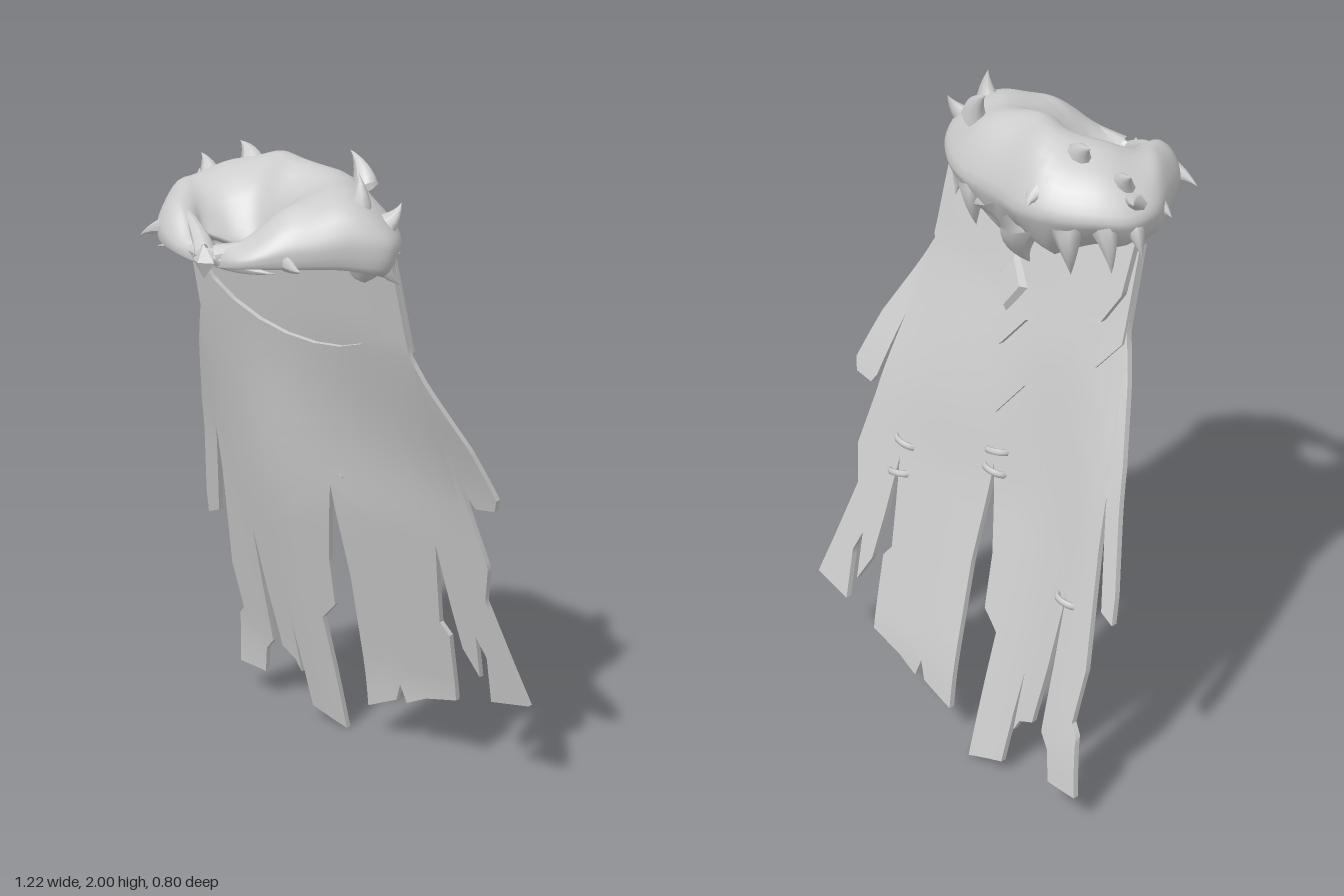
import * as THREE from 'three';
import { toCreasedNormals } from 'three/addons/utils/BufferGeometryUtils.js';

const material = new THREE.MeshStandardMaterial({ color: 0xcccccc, side: THREE.DoubleSide });
const V = (x, y, z) => new THREE.Vector3(x, y, z);

function add(parent, name, geometry) {
  const mesh = new THREE.Mesh(geometry, material);
  mesh.name = name;
  parent.add(mesh);
  return mesh;
}

// The cloth hangs on a slope, bowed backwards across the upper back; the outer strips swing further back.
function clothZ(x, y) {
  const bow = 0.045 * Math.max(0, 1 - (x / 0.45) ** 2) * THREE.MathUtils.smoothstep(y, 0.8, 1.4);
  const swing = 0.055 * (1 + 0.4 * x) * (1 - Math.exp(-(((x + 0.22) / 0.2) ** 2)));
  return -0.382 + 0.257 * y - bow - swing * (1 - THREE.MathUtils.smoothstep(y, 0.95, 1.5)) * THREE.MathUtils.smoothstep(y, -0.15, 0.3);
}

// Splits every triangle into four, so that flat cloth can be bent.
function subdivide(positions) {
  const out = [];
  const p = (i) => V(positions[i], positions[i + 1], positions[i + 2]);
  for (let i = 0; i < positions.length; i += 9) {
    const a = p(i), b = p(i + 3), c = p(i + 6);
    const ab = a.clone().lerp(b, 0.5), bc = b.clone().lerp(c, 0.5), ca = c.clone().lerp(a, 0.5);
    for (const v of [a, ab, ca, ab, b, bc, ca, bc, c, ab, bc, ca]) out.push(v.x, v.y, v.z);
  }
  return out;
}

// Thin sheet cut to an outline and laid on the cloth surface.
function cloth(outline, offset, thickness) {
  const shape = new THREE.Shape(outline.map(([x, y]) => new THREE.Vector2(x, y)));
  const flat = new THREE.ExtrudeGeometry(shape, { depth: thickness, bevelEnabled: false });
  let pos = Array.from(flat.attributes.position.array);
  for (let k = 0; k < 3; k++) pos = subdivide(pos);
  for (let i = 0; i < pos.length; i += 3) {
    pos[i + 2] += clothZ(pos[i], pos[i + 1]) - thickness - offset;
  }
  const geometry = new THREE.BufferGeometry();
  geometry.setAttribute('position', new THREE.Float32BufferAttribute(pos, 3));
  return toCreasedNormals(geometry, 0.6);
}

// Torn outline of the cape: right half going down, then left half going up, then the scooped top.
const rightEdge = [
  [-0.4, 1.7], [-0.41, 1.45], [-0.52, 1.1], [-0.6, 0.75], [-0.61, 0.67], [-0.56, 0.69], [-0.485, 1.01],
  [-0.5, 0.85], [-0.55, 0.5], [-0.54, 0.33], [-0.565, 0.3], [-0.595, 0.11], [-0.48, 0.105], [-0.46, 0.2],
  [-0.42, 0.24], [-0.415, 0.45], [-0.405, 0.67], [-0.39, 0.42], [-0.37, 0.24], [-0.31, 0.21], [-0.29, 0.17],
  [-0.29, 0.36], [-0.275, 0.2], [-0.265, 0.05], [-0.13, 0.005], [-0.145, 0.42], [-0.09, 0.48], [-0.08, 0.65], [-0.03, 0.92],
];
const leftEdge = [
  [-0.015, 0.6], [-0.03, 0.12], [0.08, 0.17], [0.1, 0.23], [0.12, 0.17], [0.2, 0.21], [0.32, 0.24],
  [0.335, 0.48], [0.305, 0.52], [0.32, 0.65], [0.34, 0.8], [0.36, 0.6], [0.38, 0.45], [0.43, 0.36],
  [0.44, 0.51], [0.47, 0.44], [0.46, 0.28], [0.605, 0.31], [0.56, 0.45], [0.5, 0.65], [0.53, 0.77],
  [0.49, 0.95], [0.45, 1.21], [0.5, 1.0], [0.52, 0.97], [0.59, 0.98], [0.605, 1.02], [0.55, 1.18], [0.41, 1.45], [0.4, 1.7],
];
const scoop = [];
for (let i = 1; i < 12; i++) {
  const a = (i / 12) * Math.PI;
  scoop.push([0.4 * Math.cos(a), 1.7 - 0.3 * Math.sin(a)]);
}

// Back layers with pointed hems.
const lowerMantle = [[-0.4, 1.76], [-0.41, 1.42], [-0.34, 1.33], [-0.22, 1.27], [-0.1, 1.19], [-0.015, 1.08],
  [0.07, 1.19], [0.2, 1.3], [0.32, 1.38], [0.41, 1.46], [0.4, 1.76]];
const upperMantle = [[-0.4, 1.74], [-0.39, 1.56], [-0.34, 1.47], [-0.22, 1.43], [-0.08, 1.39], [0, 1.29],
  [0.06, 1.39], [0.2, 1.47], [0.3, 1.57], [0.37, 1.67], [0.4, 1.76]];

// Fur collar stations around the neck: inner x, z, outer x, z, crest height, hem height.
const stations = [
  [-0.01, 0.35, -0.01, 0.37, 1.765, 1.72], [0.03, 0.31, 0.13, 0.382, 1.79, 1.735],
  [0.06, 0.27, 0.24, 0.315, 1.85, 1.74], [0.065, 0.25, 0.36, 0.19, 1.9, 1.735],
  [0.05, 0.23, 0.43, 0.08, 1.92, 1.71], [0.035, 0.205, 0.37, -0.03, 1.93, 1.68],
  [0.015, 0.185, 0.2, -0.15, 1.95, 1.65], [-0.01, 0.175, 0, -0.17, 1.97, 1.62],
  [-0.04, 0.185, -0.2, -0.19, 1.96, 1.65], [-0.065, 0.21, -0.4, -0.05, 1.92, 1.68],
  [-0.09, 0.24, -0.42, 0.06, 1.9, 1.71], [-0.11, 0.27, -0.36, 0.17, 1.89, 1.735],
  [-0.085, 0.3, -0.25, 0.32, 1.85, 1.74], [-0.05, 0.33, -0.12, 0.377, 1.79, 1.735],
];
// Collar cross-section: share of the way outwards, share of the height.
const section = [[0, 0.25], [0.06, 0.42], [0.25, 0.82], [0.5, 1], [0.76, 0.88], [0.94, 0.6], [1, 0.36],
  [0.94, 0], [0.75, 0.12], [0.3, 0.16]];

function collarGeometry() {
  const loop = (pick) => new THREE.CatmullRomCurve3(stations.map(pick), true);
  const inner = loop((s) => V(s[0], 0, s[1]));
  const outer = loop((s) => V(s[2], 0, s[3]));
  const heights = loop((s) => V(s[4], s[5], 0));
  const profile = new THREE.CatmullRomCurve3(section.map(([f, h]) => V(f, h, 0)), true);
  const N = 84, M = 30, pos = [], index = [];
  for (let i = 0; i < N; i++) {
    const a = inner.getPoint(i / N), b = outer.getPoint(i / N), h = heights.getPoint(i / N);
    const back = THREE.MathUtils.clamp((0.1 - b.z) / 0.25, 0, 1);
    for (let j = 0; j < M; j++) {
      const q = profile.getPoint(j / M);
      // The back hem tucks in towards the cloth and is ragged.
      const tuck = 0.28 * back * Math.max(0, 1 - q.y / 0.4) * q.x;
      const p = a.clone().lerp(b, q.x - tuck);
      const lump = 0.008 * Math.sin(p.x * 27 + 1) * Math.sin(p.z * 24) * q.y;
      const rim = q.x > 0.8 && q.y < 0.25 ? 0.04 * back * (Math.abs((i % 8) - 4) / 4) : 0;
      pos.push(p.x, THREE.MathUtils.lerp(h.y, h.x, q.y) + lump - rim, p.z);
      const i2 = (i + 1) % N, j2 = (j + 1) % M;
      index.push(i * M + j, i * M + j2, i2 * M + j, i * M + j2, i2 * M + j2, i2 * M + j);
    }
  }
  const geometry = new THREE.BufferGeometry();
  geometry.setAttribute('position', new THREE.Float32BufferAttribute(pos, 3));
  geometry.setIndex(index);
  geometry.computeVertexNormals();
  return geometry;
}

// Tuft of fur with a flared root, from base to tip, flattened and slightly hooked.
function tuft(parent, base, tip, radius, flat = 0.7) {
  const from = V(...base), dir = V(...tip).sub(from), length = dir.length();
  const geometry = new THREE.ConeGeometry(radius, length, 8, 6, true).translate(0, length / 2, 0);
  const p = geometry.attributes.position;
  for (let i = 0; i < p.count; i++) {
    const t = p.getY(i) / length;
    p.setX(i, p.getX(i) + 1.2 * radius * t * (1 - t));
    p.setZ(i, p.getZ(i) * flat);
  }
  geometry.computeVertexNormals();
  const mesh = add(parent, 'furTuft', geometry);
  mesh.position.copy(from);
  mesh.quaternion.setFromUnitVectors(V(0, 1, 0), dir.normalize());
}

const tufts = [
  [[-0.32, 1.81, 0.04], [-0.4, 1.92, -0.02], 0.07], [[-0.36, 1.79, 0.07], [-0.44, 1.86, -0.05], 0.06],
  [[-0.2, 1.89, -0.02], [-0.27, 1.97, -0.05], 0.06], [[0.21, 1.9, -0.05], [0.14, 2.0, -0.07], 0.05],
  [[0.27, 1.84, 0.08], [0.3, 1.985, 0.08], 0.07], [[0.34, 1.83, 0.04], [0.39, 1.9, 0], 0.05],
  [[-0.34, 1.78, 0.11], [-0.42, 1.76, 0.12], 0.045], [[-0.18, 1.85, -0.1], [-0.19, 1.82, -0.21], 0.06],
  [[0.37, 1.76, 0.05], [0.41, 1.67, 0.02], 0.05], [[-0.37, 1.76, 0.02], [-0.43, 1.68, 0], 0.05],
  // Clumps hanging over the back
  [[-0.24, 1.75, -0.11], [-0.27, 1.61, -0.12], 0.07], [[-0.1, 1.72, -0.13], [-0.08, 1.57, -0.1], 0.08],
  [[0.04, 1.74, -0.12], [0.01, 1.59, -0.1], 0.07], [[0.16, 1.75, -0.1], [0.14, 1.61, -0.11], 0.07],
  [[0.27, 1.76, -0.05], [0.28, 1.64, -0.07], 0.06], [[-0.32, 1.76, -0.05], [-0.37, 1.63, -0.06], 0.06],
];

export function createModel() {
  const model = new THREE.Group();
  model.name = 'furCollaredCape';

  add(model, 'tornCape', cloth([...rightEdge, ...leftEdge, ...scoop], 0, 0.018));
  add(model, 'lowerMantle', cloth(lowerMantle, 0.018, 0.01));
  add(model, 'upperMantle', cloth(upperMantle, 0.028, 0.02));

  const collar = new THREE.Group();
  collar.name = 'furCollar';
  model.add(collar);
  add(collar, 'furBody', collarGeometry());
  for (const t of tufts) tuft(collar, ...t);
  // Tufts fanning out from the clasp.
  for (const s of [-1, 1]) {
    tuft(collar, [s * 0.03, 1.75, 0.355], [s * 0.22, 1.86, 0.27], 0.04, 0.8);
    tuft(collar, [s * 0.03, 1.75, 0.36], [s * 0.23, 1.735, 0.345], 0.03, 0.8);
    tuft(collar, [s * 0.19, 1.78, 0.29], [s * 0.31, 1.75, 0.33], 0.045, 0.7);
  }

  // Diamond ornaments.
  const clasp = add(model, 'frontClasp', toCreasedNormals(new THREE.OctahedronGeometry(1).scale(0.042, 0.05, 0.025), 0.1));
  clasp.position.set(-0.01, 1.735, 0.378);
  const plate = new THREE.CylinderGeometry(0.72, 1, 1, 4).rotateX(-Math.PI / 2).scale(0.065, 0.1, 0.022);
  const backDiamond = add(model, 'backDiamond', toCreasedNormals(plate, 0.1));
  backDiamond.position.set(0, 1.48, clothZ(0, 1.48) - 0.055);
  backDiamond.rotation.x = 0.28;

  // Stitches arching over the tears on the back.
  for (const [x, y, tilt] of [[-0.41, 0.65, 0.1], [0.335, 0.75, -0.2], [0.33, 0.85, 0.15], [-0.03, 0.9, 0.1], [-0.03, 0.96, -0.2]]) {
    const stitch = add(model, 'stitch', new THREE.TorusGeometry(0.04, 0.009, 6, 14, Math.PI).scale(1, 0.7, 1.2).rotateX(0.26 - Math.PI / 2));
    stitch.rotation.z = tilt;
    stitch.position.set(x, y, clothZ(x, y) - 0.008);
  }
  return model;
}
